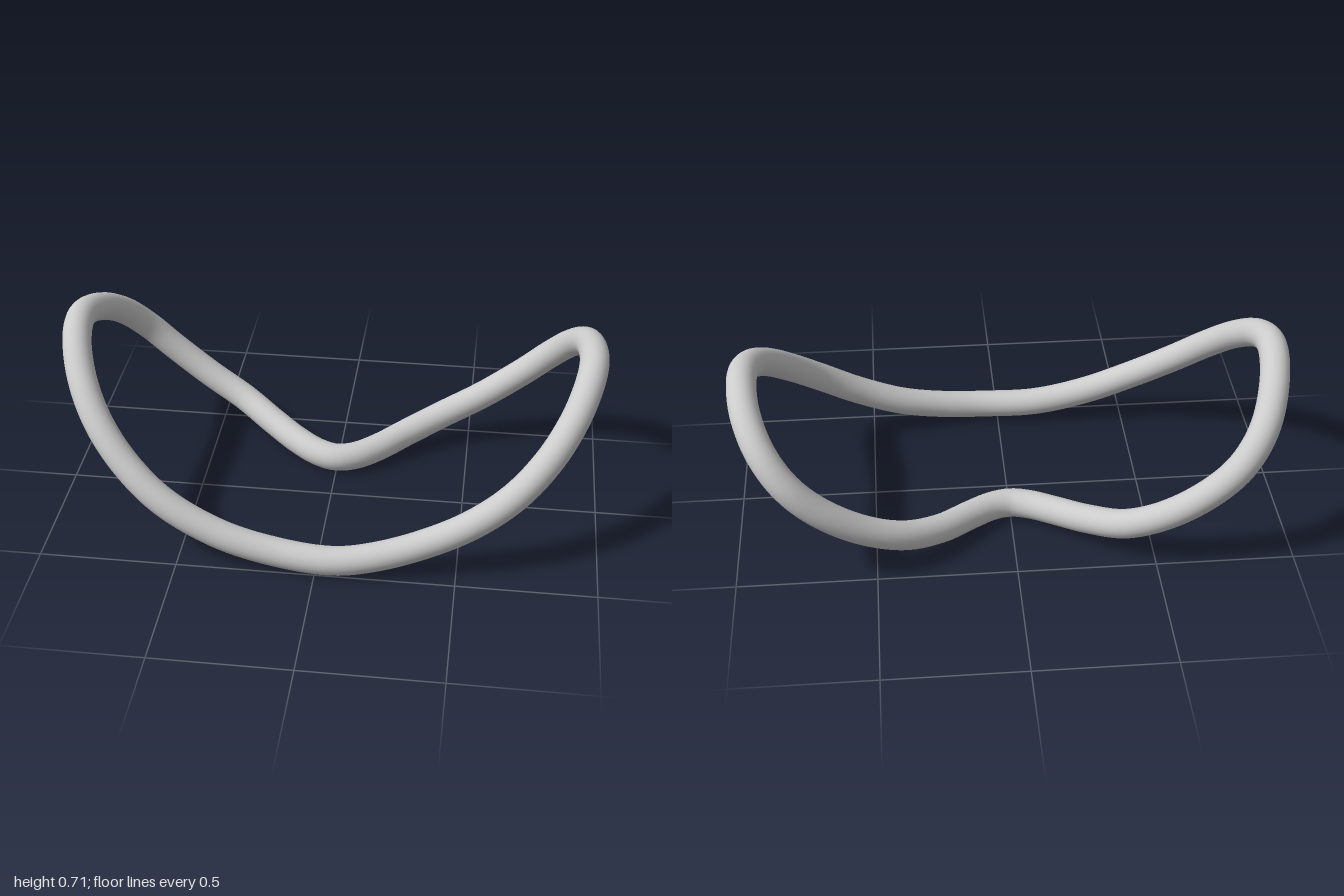
import * as THREE from 'three';

// Plan outline of the ring as x, z pairs, counted round from the front middle
const PLAN = [
  [0.06, 0.478], [0.2, 0.463], [0.38, 0.43], [0.55, 0.40], [0.69, 0.355], [0.80, 0.275], [0.88, 0.165],
  [0.929, 0.03], [0.944, -0.09], [0.926, -0.27], [0.875, -0.395], [0.80, -0.46], [0.70, -0.478],
  [0.55, -0.462], [0.40, -0.418], [0.27, -0.34], [0.15, -0.24], [0.07, -0.187], [0, -0.17],
  [-0.07, -0.19], [-0.16, -0.248], [-0.27, -0.335], [-0.40, -0.427], [-0.55, -0.473], [-0.70, -0.489],
  [-0.79, -0.475], [-0.865, -0.41], [-0.922, -0.27], [-0.947, -0.1], [-0.932, 0.03], [-0.88, 0.17],
  [-0.80, 0.278], [-0.69, 0.358], [-0.55, 0.417], [-0.35, 0.45], [-0.15, 0.463],
];

// Height of the ring's centre line: it lies on a cylinder that runs front to back
const BEND = { x: 0.009, y: 1.114, radius: 1.06 };
const bentHeight = (x) => BEND.y - Math.sqrt(BEND.radius ** 2 - (x - BEND.x) ** 2);

export function createModel() {
  const group = new THREE.Group();
  group.name = 'bentRing';

  const points = PLAN.map(([x, z]) => new THREE.Vector3(x, bentHeight(x), z));
  const path = new THREE.CatmullRomCurve3(points, true, 'centripetal');

  // One closed round rod
  const rod = new THREE.Mesh(
    new THREE.TubeGeometry(path, 240, 0.053, 24, true),
    new THREE.MeshStandardMaterial({ color: 0xcccccc })
  );
  rod.name = 'ringRod';
  group.add(rod);
  return group;
}
